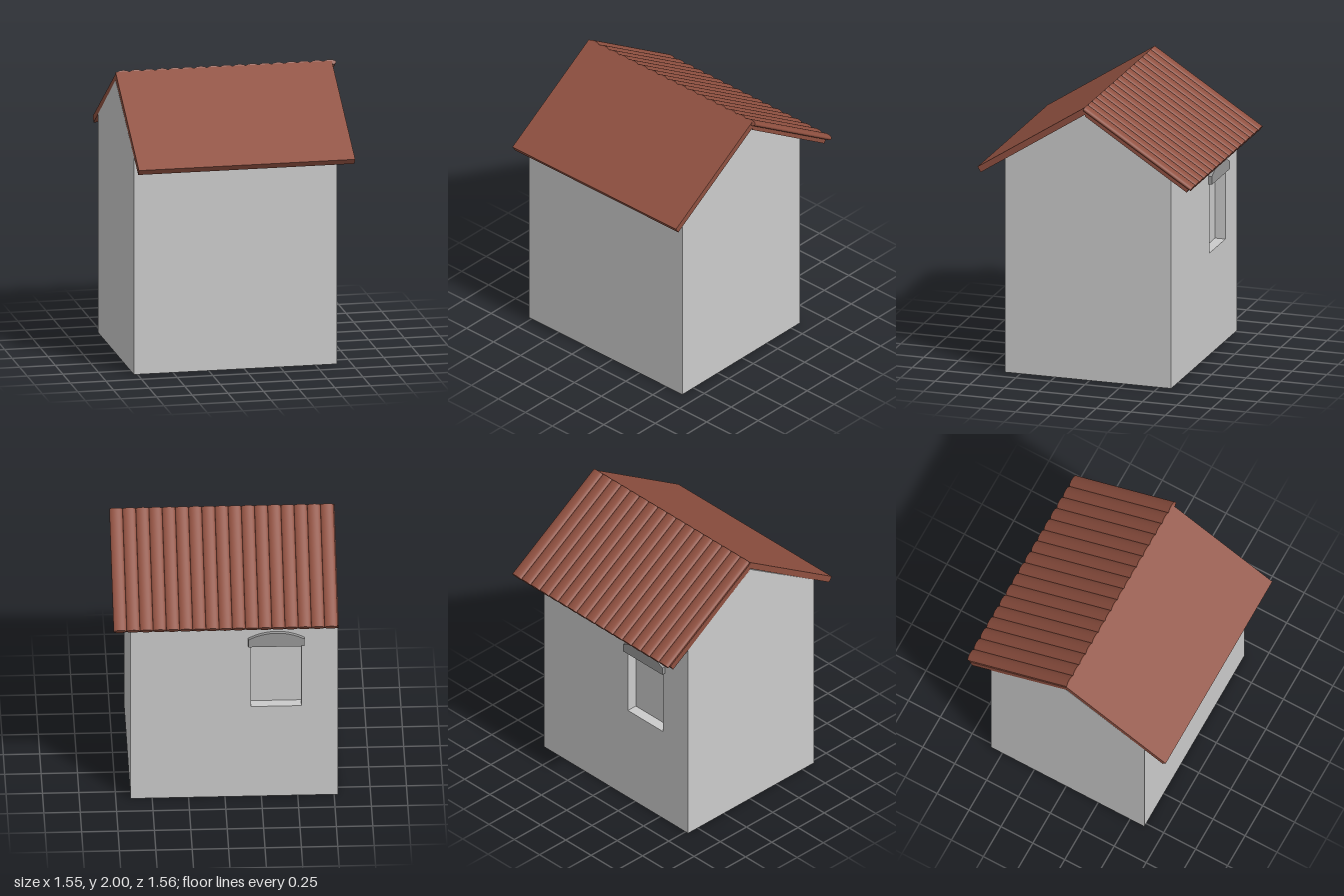
import * as THREE from 'three';

const wallMat = new THREE.MeshStandardMaterial({ color: 0xcccccc });
const lintelMat = new THREE.MeshStandardMaterial({ color: 0x999999 });
const roofMat = new THREE.MeshStandardMaterial({ color: 0x8f5040 });

function addMesh(parent, name, geometry, material) {
  const mesh = new THREE.Mesh(geometry, material);
  mesh.name = name;
  parent.add(mesh);
  return mesh;
}

// Extrudes a [z, y] profile along x, from x0 to x1
function prism(points, x0, x1) {
  const shape = new THREE.Shape(points.map(([z, y]) => new THREE.Vector2(-z, y)));
  return new THREE.ExtrudeGeometry(shape, { depth: x1 - x0, bevelEnabled: false })
    .rotateY(Math.PI / 2)
    .translate(x0, 0, 0);
}

export function createModel() {
  const model = new THREE.Group();
  model.name = 'house';

  const left = -0.775, right = 0.648, back = -0.59, front = 0.612;
  const win = { x0: -0.525, x1: -0.18, y0: 0.73, y1: 1.23, depth: 0.075 };

  // Walls: gabled prism in three lengths, the middle one notched for the window
  const walls = new THREE.Group();
  walls.name = 'walls';
  model.add(walls);
  const gable = [[back, 0], [front, 0], [front, 1.543], [0, 1.932], [back, 1.542]];
  const inner = back + win.depth;
  const notched = [...gable, [back, win.y1], [inner, win.y1], [inner, win.y0], [back, win.y0]];
  addMesh(walls, 'wallBesideWindow', prism(gable, left, win.x0), wallMat);
  addMesh(walls, 'wallWithWindowRecess', prism(notched, win.x0, win.x1), wallMat);
  addMesh(walls, 'wallMain', prism(gable, win.x1, right), wallMat);

  // Arched lintel over the window
  const w = 0.193, end = 1.288, rise = 0.052;
  const radius = (w * w + rise * rise) / (2 * rise);
  const half = Math.asin(w / radius);
  const arch = new THREE.Shape();
  arch.moveTo(-w, win.y1);
  arch.lineTo(w, win.y1);
  arch.lineTo(w, end);
  arch.absarc(0, end + rise - radius, radius, Math.PI / 2 - half, Math.PI / 2 + half, false);
  arch.closePath();
  const lintel = new THREE.ExtrudeGeometry(arch, { depth: 0.03, bevelEnabled: false, curveSegments: 12 });
  addMesh(model, 'windowLintel', lintel, lintelMat)
    .position.set((win.x0 + win.x1) / 2, 0, back - 0.025);

  // Roof slabs
  const roof = new THREE.Group();
  roof.name = 'roof';
  model.add(roof);
  addMesh(roof, 'frontRoofSlab',
    prism([[0, 1.99], [0, 1.938], [0.756, 1.45], [0.78, 1.487]], left, 0.742), roofMat);
  addMesh(roof, 'backRoofSlab',
    prism([[0, 1.923], [0, 1.977], [-0.757, 1.489], [-0.733, 1.45]], left, 0.742), roofMat);

  // Flattened round tiles running from the ridge to the back eave
  const top = new THREE.Vector3(0, 1.982, 0.005);
  const eave = new THREE.Vector3(0, 1.481, -0.774);
  const along = top.clone().sub(eave);
  const count = 17, x0 = -0.768, pitch = 1.54 / count;
  const tile = new THREE.CylinderGeometry(1, 1, along.length(), 24)
    .scale(pitch / 2, 1, 0.02)
    .rotateX(Math.atan2(along.z, along.y));
  const middle = top.clone().add(eave).multiplyScalar(0.5);
  for (let i = 0; i < count; i++) {
    addMesh(roof, 'roofTile', tile, roofMat)
      .position.set(x0 + (i + 0.5) * pitch, middle.y, middle.z);
  }
  return model;
}
